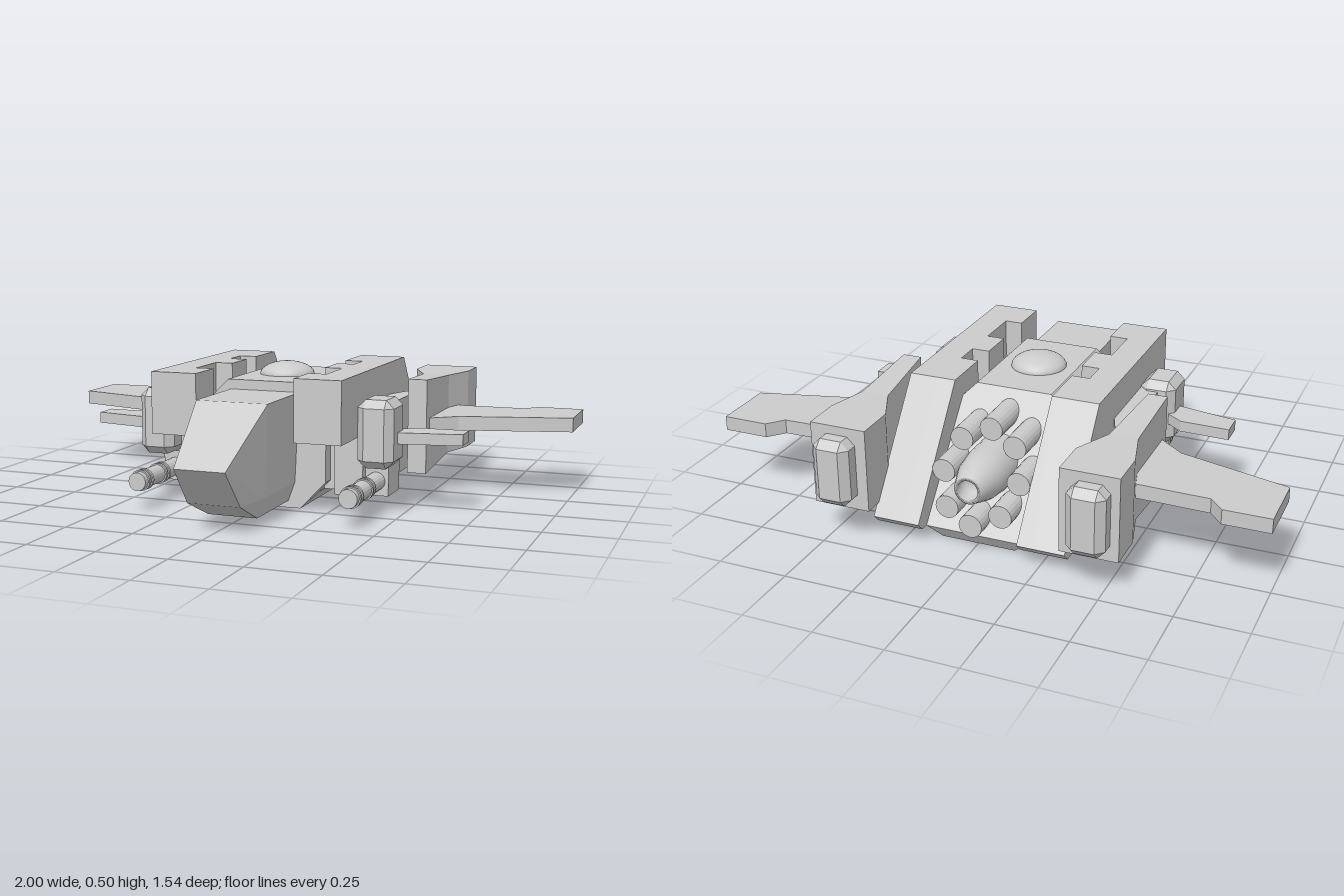
import * as THREE from 'three';
import { ConvexGeometry } from 'three/addons/geometries/ConvexGeometry.js';

const flat = new THREE.MeshStandardMaterial({ color: 0xcccccc, flatShading: true });
const smooth = new THREE.MeshStandardMaterial({ color: 0xcccccc, side: THREE.DoubleSide });

function add(parent, name, geometry, material = flat) {
  const mesh = new THREE.Mesh(geometry, material);
  mesh.name = name;
  parent.add(mesh);
  return mesh;
}

const extrude = (pts, depth) => new THREE.ExtrudeGeometry(
  new THREE.Shape(pts.map(([a, b]) => new THREE.Vector2(a, b))), { depth, bevelEnabled: false });

// Side outline in (z, y), extruded from x0 to x1
const sidePlate = (pts, x0, x1) => extrude(pts, x1 - x0).rotateY(-Math.PI / 2).translate(x1, 0, 0);

// Plan outline in (x, z), extruded from y0 to y1
const planPlate = (pts, y0, y1) =>
  extrude(pts.map(([x, z]) => [x, -z]), y1 - y0).rotateX(-Math.PI / 2).translate(0, y0, 0);

// Box from ranges
const box = (x0, x1, y0, y1, z0, z1) => new THREE.BoxGeometry(x1 - x0, y1 - y0, z1 - z0)
  .translate((x0 + x1) / 2, (y0 + y1) / 2, (z0 + z1) / 2);

// Convex solid, mirrored about x = 0
const hull = (pts) => new ConvexGeometry(
  pts.flatMap(([x, y, z]) => [new THREE.Vector3(x, y, z), new THREE.Vector3(-x, y, z)]));

// Box with every edge cut by c
function chamferBox(w, h, d, c) {
  const half = [w / 2, h / 2, d / 2], pts = [];
  for (let axis = 0; axis < 3; axis++)
    for (const sx of [-1, 1]) for (const sy of [-1, 1]) for (const sz of [-1, 1]) {
      const p = half.map((v, i) => (i === axis ? v : v - c));
      pts.push(new THREE.Vector3(sx * p[0], sy * p[1], sz * p[2]));
    }
  return new ConvexGeometry(pts);
}

const zCylinder = (r, z0, z1, sides = 20) =>
  new THREE.CylinderGeometry(r, r, z1 - z0, sides).rotateX(Math.PI / 2).translate(0, 0, (z0 + z1) / 2);

function buildSide() {
  const side = new THREE.Group();

  // Side rail: outer slab, then inner teeth leaving two notches
  add(side, 'railOuter', sidePlate([[0.395, 0.27], [0.395, 0.49], [-0.345, 0.49], [-0.66, 0.08],
    [-0.63, 0.05], [0.155, 0.05], [0.155, 0.27]], 0.245, 0.35));
  add(side, 'railFrontTooth', box(0.18, 0.245, 0.27, 0.49, 0.245, 0.395));
  add(side, 'railMiddleTooth', box(0.18, 0.245, 0.05, 0.49, -0.06, 0.075));
  add(side, 'railRearTooth', sidePlate([[-0.155, 0.05], [-0.155, 0.49], [-0.345, 0.49],
    [-0.66, 0.08], [-0.63, 0.05]], 0.18, 0.245));

  // Tapered pylon behind the front pod
  add(side, 'frontPylon', planPlate([[0.35, 0.12], [0.42, 0.12], [0.42, -0.19], [0.405, -0.28],
    [0.385, -0.28], [0.35, -0.19]], 0.2, 0.37));
  add(side, 'frontPod', chamferBox(0.13, 0.24, 0.165, 0.028)).position.set(0.415, 0.285, 0.162);
  add(side, 'frontWing', planPlate([[0.46, 0.175], [0.7, 0.13], [0.7, 0.04], [0.52, 0.045],
    [0.46, 0.09]], 0.248, 0.288));

  // Gun with muzzle and breech rings
  const gun = new THREE.Group();
  gun.name = 'gun';
  gun.position.set(0.39, 0.102, 0);
  add(gun, 'barrel', zCylinder(0.033, 0.1, 0.44));
  for (const z of [0.25, 0.275, 0.385, 0.41]) add(gun, 'barrelRing', zCylinder(0.038, z - 0.006, z + 0.006));
  side.add(gun);
  add(side, 'gunMount', box(0.35, 0.435, 0.05, 0.16, -0.01, 0.125));

  // Rear nacelle: plan outline, taller toward its nose
  const nacelle = planPlate([[0.44, -0.095], [0.51, -0.095], [0.51, -0.41], [0.55, -0.56],
    [0.55, -0.7], [0.345, -0.7], [0.345, -0.55], [0.41, -0.41]], 0, 1);
  const p = nacelle.attributes.position;
  for (let i = 0; i < p.count; i++) {
    const t = THREE.MathUtils.clamp((p.getZ(i) + 0.41) / 0.315, 0, 1);
    p.setY(i, p.getY(i) > 0.5 ? 0.42 + 0.02 * t : 0.12 - 0.025 * t);
  }
  nacelle.computeVertexNormals();
  add(side, 'rearNacelle', nacelle);
  add(side, 'rearExhaust', chamferBox(0.135, 0.24, 0.16, 0.028)).position.set(0.452, 0.268, -0.69);

  // Main wing
  add(side, 'rearWing', planPlate([[0.5, -0.13], [0.6, -0.212], [1, -0.32], [1, -0.548],
    [0.835, -0.548], [0.785, -0.492], [0.5, -0.485]], 0.243, 0.295));
  return side;
}

export function createModel() {
  const model = new THREE.Group();
  model.name = 'aircraft';

  // Fuselage with sloping stern
  add(model, 'fuselage', hull([
    [0.135, 0, 0.205], [0.18, 0.05, 0.205], [0.18, 0.41, 0.205], [0.14, 0.45, 0.205],
    [0.135, 0, -0.565], [0.18, 0.05, -0.6], [0.18, 0.41, -0.285], [0.14, 0.45, -0.25]]));
  const collar = [[0.135, 0], [0.23, 0.1], [0.23, 0.36], [0.14, 0.45]];
  add(model, 'frontCollar', hull(collar.flatMap(([x, y]) => [[x, y, 0.15], [x, y, 0.206]])));

  // Wedge nose
  add(model, 'nose', hull([
    [0.13, 0.415, 0.15], [0.115, 0.095, 0.15], [0.09, 0.025, 0.15],
    [0.13, 0.415, 0.5], [0.115, 0.095, 0.5], [0.09, 0.025, 0.5],
    [0.095, 0.095, 0.655], [0.09, 0.23, 0.767]]));

  // Low dome on the roof
  const dome = add(model, 'roofDome',
    new THREE.SphereGeometry(0.1, 28, 10, 0, Math.PI * 2, 0, Math.PI / 2), smooth);
  dome.scale.y = 0.47;
  dome.position.set(0, 0.45, -0.02);

  // Hollow main nozzle
  const nozzle = [[0.07, 0.2], [0.085, 0.3], [0.088, 0.48], [0.078, 0.56], [0.05, 0.642],
    [0.036, 0.642], [0.045, 0.57], [0, 0.57]].map(([r, y]) => new THREE.Vector2(r, y));
  add(model, 'mainNozzle', new THREE.LatheGeometry(nozzle, 24).rotateX(-Math.PI / 2), smooth)
    .position.y = 0.24;

  // Ring of thrusters following the stern slope
  for (let i = 0; i < 8; i++) {
    const a = (i * Math.PI) / 4, dy = 0.14 * Math.cos(a), end = -0.54 + dy * 0.65;
    add(model, 'thruster', zCylinder(0.042, end, end + 0.2))
      .position.set(0.138 * Math.sin(a), 0.24 + dy, 0);
  }

  // Both sides
  const left = buildSide();
  left.name = 'leftSide';
  const right = buildSide();
  right.name = 'rightSide';
  right.scale.x = -1;
  model.add(left, right);
  return model;
}
